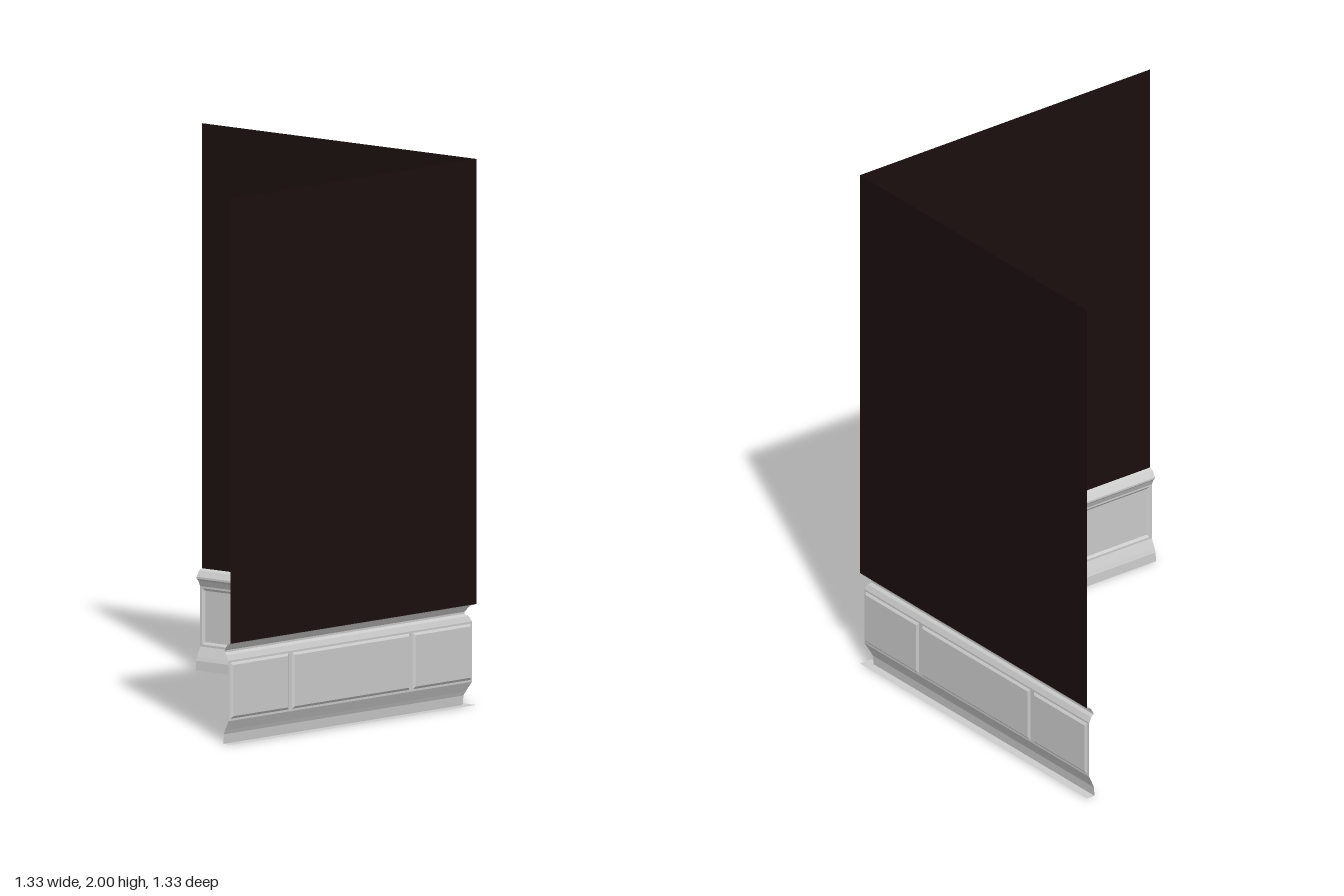
import * as THREE from 'three';

const H = 0.667;      // half length of a wall
const FRAME = 0.011;  // how far the panel frame stands out from the wall plane
const FIELD = 0.004;  // depth of the sunken panel fields

const trim = new THREE.MeshStandardMaterial({ color: 0xcccccc, side: THREE.DoubleSide, flatShading: true });
const dark = new THREE.MeshStandardMaterial({ color: 0x1a0f0e, side: THREE.DoubleSide });

// Points are [u along the wall, y up, d out from the wall plane].
const backWall = ([u, y, d]) => [u, y, -H + d];
const sideWall = ([u, y, d]) => [H - d, y, -u]; // mirrored about the corner

function quadMesh(name, quads, place, flip, material) {
  const pos = [];
  for (const q of quads) {
    const [a, b, c, d] = (flip ? [...q].reverse() : q).map(place);
    pos.push(...a, ...b, ...c, ...a, ...c, ...d);
  }
  const g = new THREE.BufferGeometry();
  g.setAttribute('position', new THREE.Float32BufferAttribute(pos, 3));
  g.computeVertexNormals();
  const mesh = new THREE.Mesh(g, material);
  mesh.name = name;
  return mesh;
}

// Moulding swept along the wall, mitred at the corner; profile is [d, y] going up
function sweep(profile) {
  const quads = [];
  for (let i = 0; i + 1 < profile.length; i++) {
    const [d0, y0] = profile[i], [d1, y1] = profile[i + 1];
    quads.push([[-H, y0, d0], [H - d0, y0, d0], [H - d1, y1, d1], [-H, y1, d1]]);
  }
  return quads;
}

const rect = (u0, u1, y0, y1, d) => [[u0, y0, d], [u1, y0, d], [u1, y1, d], [u0, y1, d]];

// Flat frame around three openings
const us = [-H, -0.657, -0.342, -0.322, 0.314, 0.334, 0.648, H - FRAME];
const ys = [0.085, 0.093, 0.299, 0.306];
const frame = [], panels = [];
for (let i = 0; i + 1 < us.length; i++) {
  for (let j = 0; j < 3; j++) {
    const cell = rect(us[i], us[i + 1], ys[j], ys[j + 1], FRAME);
    if (i % 2 === 0 || j !== 1) { frame.push(cell); continue; }
    // Bevelled border and sunken field
    const b = 0.009;
    const inner = rect(us[i] + b, us[i + 1] - b, ys[j] + b, ys[j + 1] - b, FIELD);
    for (let k = 0; k < 4; k++) {
      const n = (k + 1) % 4;
      panels.push([cell[k], cell[n], inner[n], inner[k]]);
    }
    panels.push(inner);
  }
}

const skirting = sweep([[0, 0], [0.035, 0], [0.033, 0.035], [0.027, 0.05], [FRAME, 0.085]]);
const rail = sweep([[FRAME, 0.306], [0.02, 0.326], [0.03, 0.335], [0.03, 0.342], [0.016, 0.364], [0, 0.37]]);
const sheet = [rect(-H, H, 0.37, 2, 0)];

export function createModel() {
  const model = new THREE.Group();
  model.name = 'panelledCorner';
  for (const [name, place, flip] of [['backWall', backWall, false], ['sideWall', sideWall, true]]) {
    const wall = new THREE.Group();
    wall.name = name;
    wall.add(
      quadMesh('upperWall', sheet, place, flip, dark),
      quadMesh('skirting', skirting, place, flip, trim),
      quadMesh('panelFrame', frame, place, flip, trim),
      quadMesh('sunkenPanels', panels, place, flip, trim),
      quadMesh('chairRail', rail, place, flip, trim),
    );
    model.add(wall);
  }
  return model;
}
